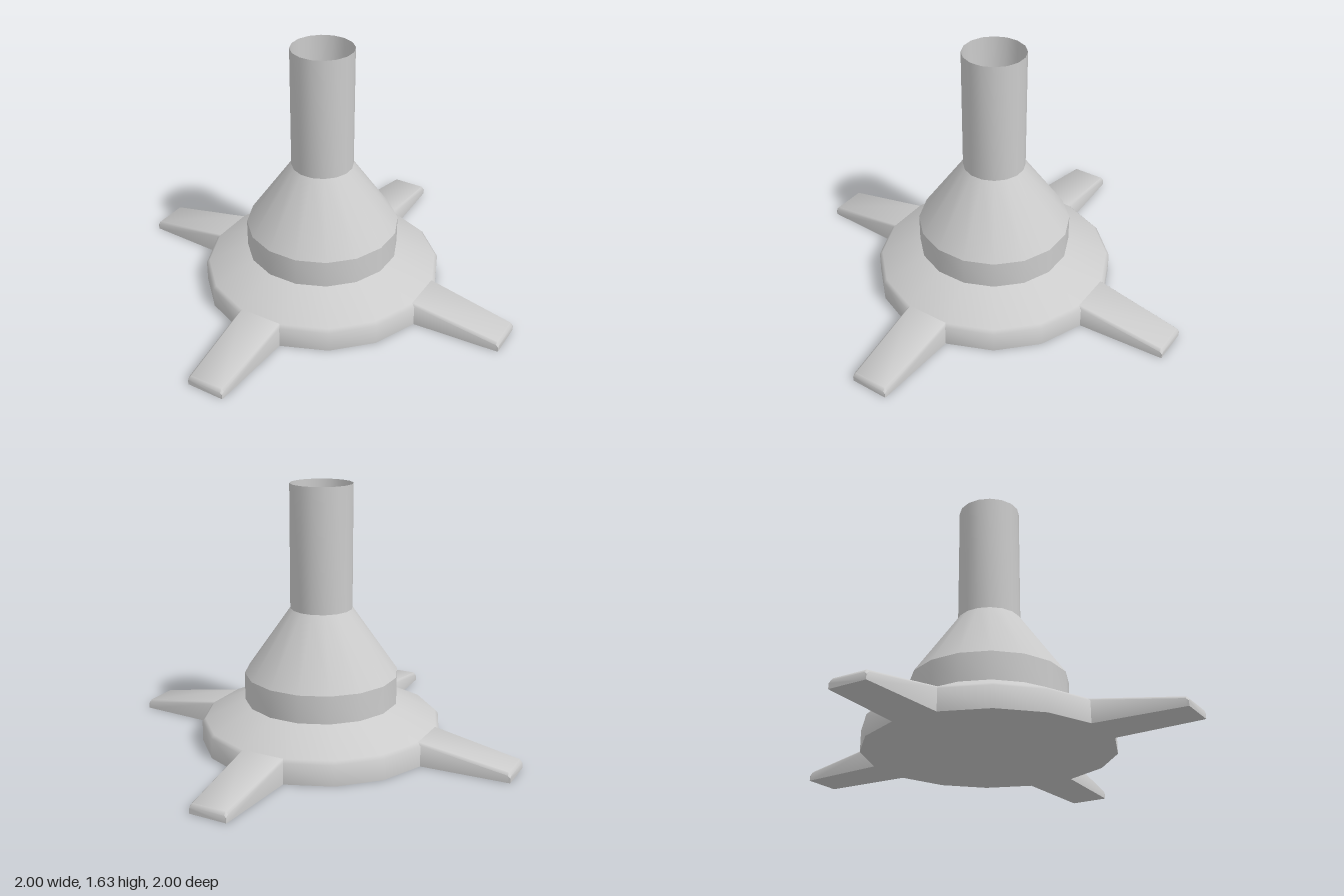
import * as THREE from 'three';
import { toCreasedNormals } from 'three/addons/utils/BufferGeometryUtils.js';

const SIDES = 16;
const HALF_STEP = Math.PI / SIDES; // flats face the axes and the diagonals

function creased(geometry, degrees) {
  return toCreasedNormals(geometry, THREE.MathUtils.degToRad(degrees));
}

// 16-sided turned part from [radius, height] pairs, listed bottom to top
function turned(profile, creaseDegrees) {
  const points = profile.map(([r, y]) => new THREE.Vector2(r, y));
  return creased(new THREE.LatheGeometry(points, SIDES, HALF_STEP), creaseDegrees);
}

// Tapering foot along +z with softened upper edges and a closed tip
function footGeometry() {
  // distance, half width, height, edge softening
  const sections = [
    [0.726, 0.147, 0.15, 0.012],
    [1.278, 0.121, 0.06, 0.015],
    [1.294, 0.119, 0.042, 0.012],
  ];
  const positions = [];
  const index = [];
  const n = 6;
  for (const [z, w, h, b] of sections) {
    positions.push(
      w, 0, z, w, h - b, z, w - b, h, z,
      b - w, h, z, -w, h - b, z, -w, 0, z
    );
  }
  for (let s = 0; s < sections.length - 1; s++) {
    for (let i = 0; i < n; i++) {
      const a = s * n + i;
      const b = s * n + (i + 1) % n;
      index.push(a, b, a + n, b, b + n, a + n);
    }
  }
  const tip = (sections.length - 1) * n;
  for (let i = 1; i < n - 1; i++) index.push(tip, tip + i, tip + i + 1);

  const geometry = new THREE.BufferGeometry();
  geometry.setAttribute('position', new THREE.Float32BufferAttribute(positions, 3));
  geometry.setIndex(index);
  return creased(geometry, 50);
}

export function createModel() {
  const model = new THREE.Group();
  model.name = 'pedestalStand';
  const material = new THREE.MeshStandardMaterial({ color: 0xcccccc });
  const openMaterial = new THREE.MeshStandardMaterial({ color: 0xcccccc, side: THREE.DoubleSide });

  const add = (name, geometry, mat = material) => {
    const mesh = new THREE.Mesh(geometry, mat);
    mesh.name = name;
    model.add(mesh);
    return mesh;
  };

  // Sloping base plate with a softened rim and flat underside
  add('basePlate', turned([[0, 0], [0.76, 0], [0.76, 0.13], [0.74, 0.15], [0.485, 0.27]], 50));

  // Collar narrowing to the foot of the pipe, closed on top
  add('collar', turned([[0.485, 0.27], [0.485, 0.445], [0.195, 0.86], [0, 0.86]], 30));

  // Open pipe
  add('pipe', turned([[0.195, 0.86], [0.195, 1.635]], 30), openMaterial);

  // Four diagonal feet
  const foot = footGeometry();
  for (let i = 0; i < 4; i++) {
    add(`foot${i + 1}`, foot).rotation.y = Math.PI / 4 + i * Math.PI / 2;
  }
  return model;
}
